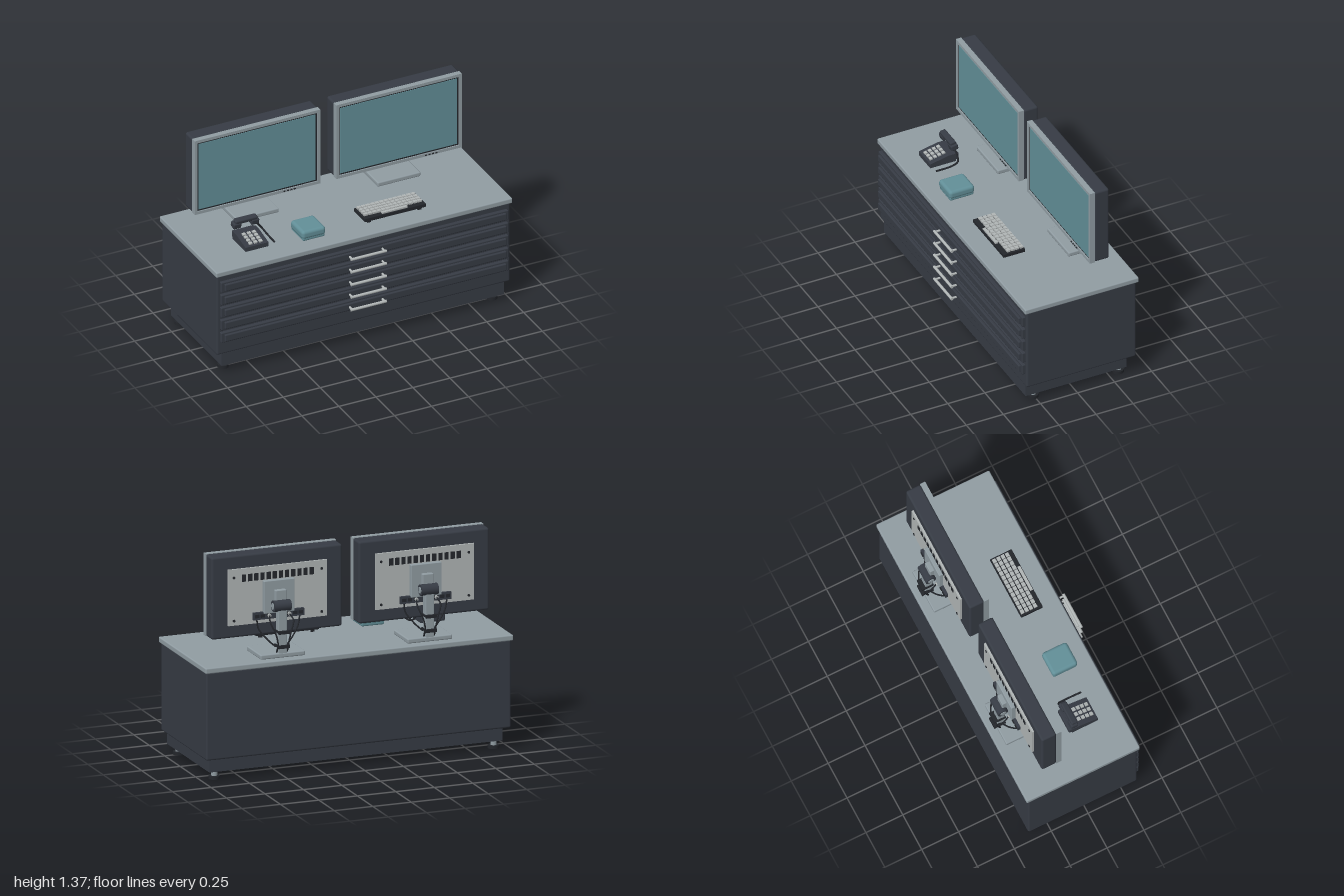
import * as THREE from 'three';
import { RoundedBoxGeometry } from 'three/addons/geometries/RoundedBoxGeometry.js';

const mat = (name, color) => Object.assign(new THREE.MeshStandardMaterial({ color }), { name });

export function createModel() {
  const dark = mat('charcoal', 0x363b44);
  const grey = mat('blue grey', 0x909ca2);
  const pale = mat('pale grey', 0xb0b5b5);
  const teal = mat('teal', 0x628f98);
  const black = mat('black', 0x23262b);
  const root = new THREE.Group();
  root.name = 'officeDesk';

  const add = (parent, name, geometry, material, x = 0, y = 0, z = 0) => {
    const mesh = new THREE.Mesh(geometry, material);
    mesh.name = name;
    mesh.position.set(x, y, z);
    parent.add(mesh);
    return mesh;
  };
  // Box given by its ranges on each axis; r rounds the edges
  const box = (parent, name, material, [x0, x1], [y0, y1], [z0, z1], r = 0) => {
    const s = [x1 - x0, y1 - y0, z1 - z0];
    const g = r ? new RoundedBoxGeometry(...s, 3, r) : new THREE.BoxGeometry(...s);
    return add(parent, name, g, material, (x0 + x1) / 2, (y0 + y1) / 2, (z0 + z1) / 2);
  };
  const rod = (parent, name, material, r, length, axis, x, y, z) => {
    const mesh = add(parent, name, new THREE.CylinderGeometry(r, r, length, 20), material, x, y, z);
    if (axis === 'x') mesh.rotation.z = Math.PI / 2;
    if (axis === 'z') mesh.rotation.x = Math.PI / 2;
    return mesh;
  };
  const cable = (parent, name, material, r, points) => {
    const curve = new THREE.CatmullRomCurve3(points.map(p => new THREE.Vector3(...p)));
    return add(parent, name, new THREE.TubeGeometry(curve, 32, r, 8), material);
  };
  const group = (parent, name, x = 0, y = 0, z = 0) => {
    const g = new THREE.Group();
    g.name = name;
    g.position.set(x, y, z);
    parent.add(g);
    return g;
  };

  // Cabinet
  const cabinet = group(root, 'cabinet');
  box(cabinet, 'tabletop', grey, [-1, 1], [0.686, 0.722], [-0.415, 0.352], 0.008);
  box(cabinet, 'cabinetBody', dark, [-0.99, 0.99], [0.137, 0.69], [-0.4, 0.337], 0.012);
  box(cabinet, 'plinth', dark, [-0.953, 0.953], [0.05, 0.14], [-0.355, 0.327]);
  for (const x of [-0.908, 0.908]) for (const z of [-0.32, 0.256]) {
    rod(cabinet, 'footStem', grey, 0.019, 0.036, 'y', x, 0.036, z);
    rod(cabinet, 'footPad', black, 0.035, 0.02, 'y', x, 0.01, z);
  }

  // Five shallow drawers with bar handles
  for (let i = 0; i < 5; i++) {
    const drawer = group(root, 'drawer', 0, 0.614 - i * 0.088, 0);
    box(drawer, 'drawerPanel', dark, [-0.97, 0.97], [-0.035, 0.035], [0.33, 0.358], 0.006);
    box(drawer, 'drawerRaisedFront', dark, [-0.95, 0.95], [-0.023, 0.023], [0.35, 0.372], 0.006);
    rod(drawer, 'handleBar', pale, 0.009, 0.24, 'x', 0, 0, 0.406);
    for (const x of [-0.11, 0.11]) rod(drawer, 'handlePost', pale, 0.007, 0.04, 'z', x, 0, 0.386);
  }

  // Monitors, each with its stand
  const rectangle = (Type, w, h) => {
    const p = new Type();
    p.moveTo(-w / 2, -h / 2);
    p.lineTo(w / 2, -h / 2);
    p.lineTo(w / 2, h / 2);
    p.lineTo(-w / 2, h / 2);
    p.closePath();
    return p;
  };
  const makeMonitor = cx => {
    const m = group(root, 'monitor', cx, 0, 0);
    const frame = rectangle(THREE.Shape, 0.848, 0.515);
    frame.holes.push(rectangle(THREE.Path, 0.808, 0.477));
    add(m, 'bezel', new THREE.ExtrudeGeometry(frame, { depth: 0.035, bevelEnabled: false }), grey, 0, 1.108, -0.167);
    box(m, 'screenSurround', black, [-0.405, 0.405], [0.868, 1.348], [-0.165, -0.14]);
    box(m, 'screen', teal, [-0.394, 0.394], [0.88, 1.336], [-0.141, -0.137]);
    box(m, 'rearHousing', dark, [-0.424, 0.424], [0.85, 1.365], [-0.264, -0.164], 0.014);
    for (let i = 0; i < 4; i++) {
      const x = 0.175 + i * 0.023;
      box(m, 'button', black, [x, x + 0.012], [0.857, 0.863], [-0.133, -0.127]);
    }
    // Back plate with vents and screws
    box(m, 'backPlate', pale, [-0.32, 0.32], [0.93, 1.282], [-0.277, -0.26]);
    for (let i = 0; i < 12; i++) {
      const x = -0.22 + i * 0.04;
      box(m, 'vent', black, [x - 0.013, x + 0.013], [1.2, 1.245], [-0.281, -0.275]);
    }
    for (const x of [-0.285, 0.285]) for (const y of [0.96, 1.23])
      rod(m, 'screw', black, 0.008, 0.006, 'z', x, y, -0.279);
    // Connector strip with sockets
    for (const s of [-1, 1]) {
      box(m, 'connectorStrip', dark, s < 0 ? [-0.165, -0.02] : [0.02, 0.165], [0.955, 1.0], [-0.295, -0.27]);
      for (const x of [0.065, 0.105, 0.142])
        box(m, 'socket', black, [s * x - 0.013, s * x + 0.013], [0.968, 0.988], [-0.3, -0.294]);
      rod(m, 'plug', pale, 0.011, 0.02, 'z', s * 0.065, 0.978, -0.3);
    }
    // Mount, hinge and column
    box(m, 'mountPlate', grey, [-0.1, 0.1], [0.99, 1.196], [-0.305, -0.275], 0.005);
    box(m, 'mountArm', grey, [-0.035, 0.035], [1.03, 1.138], [-0.333, -0.3], 0.005);
    rod(m, 'hinge', dark, 0.035, 0.11, 'x', 0, 1.043, -0.337);
    rod(m, 'hingeCap', grey, 0.02, 0.118, 'x', 0, 1.043, -0.337);
    box(m, 'column', grey, [-0.028, 0.028], [0.74, 1.04], [-0.36, -0.312], 0.005);
    box(m, 'standBase', grey, [-0.145, 0.145], [0.722, 0.752], [-0.362, -0.13], 0.008);
    for (const y of [0.795, 0.885]) {
      box(m, 'cableClip', black, [-0.036, 0.036], [y - 0.006, y + 0.006], [-0.378, -0.308]);
      box(m, 'clipEnd', black, [-0.036, 0.036], [y - 0.01, y + 0.01], [-0.387, -0.375]);
    }
    for (const s of [-1, 1]) {
      cable(m, 'cable', black, 0.005, [[s * 0.065, 0.978, -0.305], [s * 0.075, 0.945, -0.345],
        [s * 0.05, 0.88, -0.367], [s * 0.034, 0.81, -0.368], [s * 0.034, 0.755, -0.345]]);
      cable(m, 'cable', black, 0.005, [[s * 0.14, 0.96, -0.285], [s * 0.13, 0.9, -0.285],
        [s * 0.08, 0.83, -0.31], [s * 0.033, 0.785, -0.325]]);
    }
  };
  makeMonitor(-0.479);
  makeMonitor(0.477);

  // Keyboard
  const keyboard = group(root, 'keyboard', 0.267, 0, 0.162);
  box(keyboard, 'keyboardCase', black, [-0.207, 0.207], [0.737, 0.762], [-0.073, 0.073], 0.004);
  for (const x of [-0.17, 0.17]) for (const z of [-0.055, 0.055])
    box(keyboard, 'keyboardFoot', black, [x - 0.012, x + 0.012], [0.72, 0.74], [z - 0.006, z + 0.006]);
  for (let row = 0; row < 4; row++) for (let col = 0; col < 13; col++) {
    const x = -0.183 + col * 0.0305, z = -0.055 + row * 0.029;
    box(keyboard, 'key', pale, [x - 0.0125, x + 0.0125], [0.758, 0.774], [z - 0.011, z + 0.011]);
  }
  box(keyboard, 'spaceBar', pale, [-0.085, 0.085], [0.758, 0.772], [0.05, 0.068]);

  // Teal storage box with a lid
  const tray = group(root, 'desktopBox');
  box(tray, 'boxBase', teal, [-0.365, -0.215], [0.722, 0.75], [0.09, 0.25], 0.01);
  box(tray, 'boxLid', teal, [-0.37, -0.21], [0.735, 0.791], [0.085, 0.255], 0.02);

  // Telephone: sloped body, cradle, keypad, handset and cord
  const phone = group(root, 'telephone', -0.652, 0, 0);
  const side = new THREE.Shape([[-0.205, 0.724], [-0.03, 0.724], [-0.03, 0.778], [-0.08, 0.778], [-0.205, 0.752]]
    .map(p => new THREE.Vector2(...p)));
  const body = add(phone, 'phoneBody', new THREE.ExtrudeGeometry(side, { depth: 0.155, bevelEnabled: false }), dark, -0.0775);
  body.geometry.rotateY(Math.PI / 2);
  box(phone, 'cradle', dark, [-0.075, 0.075], [0.73, 0.775], [0.01, 0.09], 0.008);
  const keypad = group(phone, 'keypad', 0, 0.765, 0.138);
  keypad.rotation.x = Math.atan2(0.026, 0.125);
  for (let r = 0; r < 4; r++) for (let c = -1; c <= 1; c++)
    box(keypad, 'phoneKey', pale, [c * 0.034 - 0.011, c * 0.034 + 0.011], [-0.003, 0.01],
      [-0.054 + r * 0.029, -0.034 + r * 0.029]);
  const handset = group(phone, 'handset', 0, 0.838, 0.045);
  handset.rotation.x = 0.2;
  box(handset, 'handsetGrip', dark, [-0.075, 0.075], [0.0, 0.028], [-0.02, 0.02], 0.009);
  for (const x of [-0.06, 0.06])
    box(handset, 'handsetEnd', dark, [x - 0.027, x + 0.027], [-0.03, 0.01], [-0.024, 0.024], 0.009);
  cable(phone, 'phoneCord', black, 0.006, [[0.07, 0.815, 0.04], [0.09, 0.79, 0.035], [0.12, 0.75, 0.04],
    [0.127, 0.735, 0.08], [0.127, 0.73, 0.195]]);

  return root;
}
